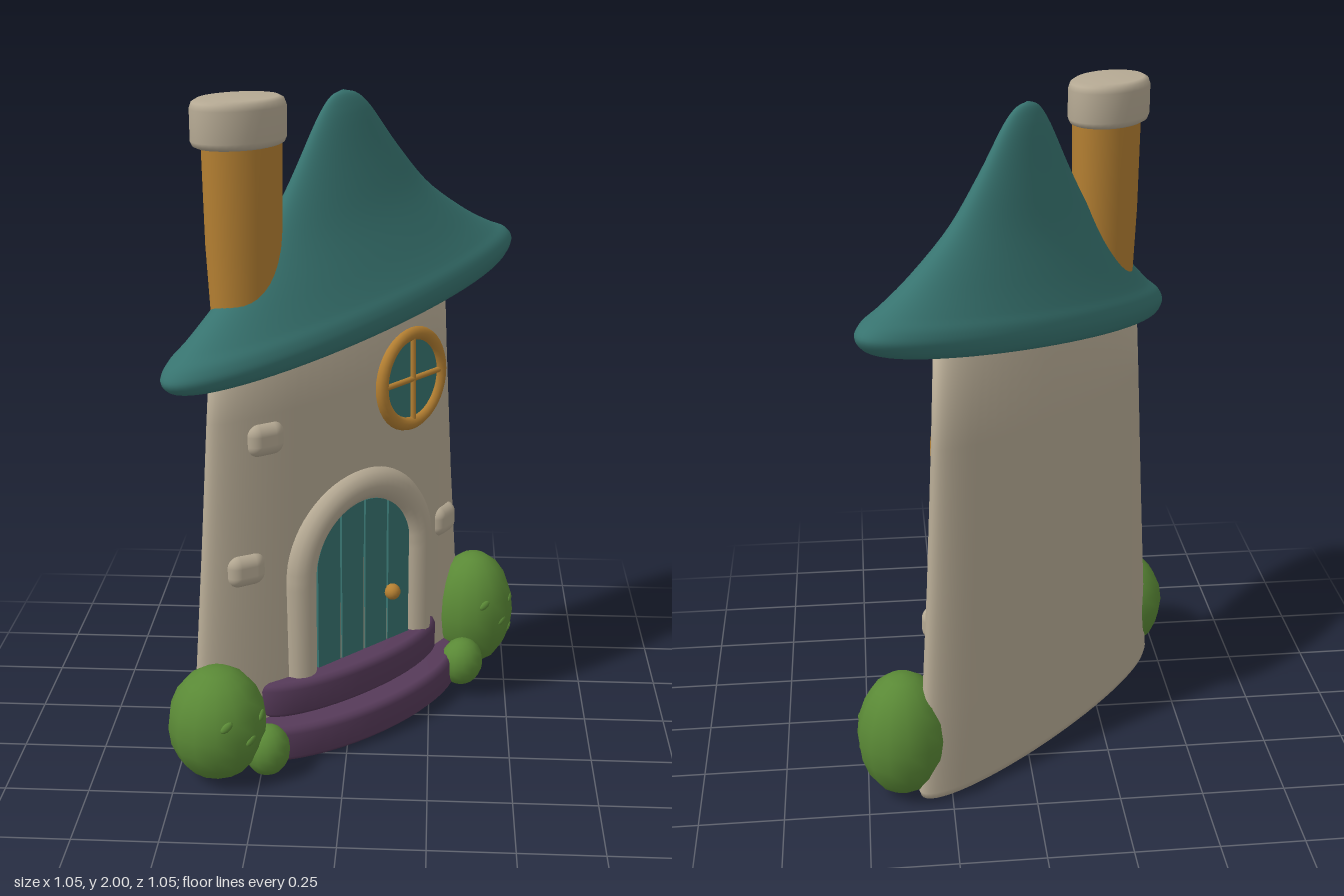
import * as THREE from 'three';
import { RoundedBoxGeometry } from 'three/addons/geometries/RoundedBoxGeometry.js';

const mat = (name, color) => {
  const m = new THREE.MeshStandardMaterial({ color });
  m.name = name;
  return m;
};

// Lofts elliptical rings, listed bottom to top: { y, a, b, x, z, tilt, back }
function loft(rings, n = 48) {
  const pos = [], idx = [];
  rings.forEach(({ y, a, b, x = 0, z = 0, tilt = 0, back = -9 }, j) => {
    for (let i = 0; i < n; i++) {
      const t = (i / n) * Math.PI * 2, u = Math.cos(t) * a;
      pos.push(x + u, y + tilt * u, Math.max(z + Math.sin(t) * b, back));
      if (j === rings.length - 1) continue;
      const p = j * n + i, q = j * n + (i + 1) % n;
      idx.push(p, p + n, q, q, p + n, q + n);
    }
  });
  const g = new THREE.BufferGeometry();
  g.setAttribute('position', new THREE.Float32BufferAttribute(pos, 3));
  g.setIndex(idx);
  g.computeVertexNormals();
  return g;
}

export function createModel() {
  const stone = mat('stone', 0xb6aa94), teal = mat('teal', 0x37736f), dark = mat('darkTeal', 0x1d4443);
  const ochre = mat('ochre', 0xb58032), plum = mat('plum', 0x563a59), green = mat('leafGreen', 0x5a8936);

  const model = new THREE.Group();
  model.name = 'towerCottage';
  const house = new THREE.Group();
  house.name = 'house';
  house.rotation.y = Math.PI / 4;
  model.add(house);

  const add = (name, geo, material, x = 0, y = 0, z = 0, parent = house) => {
    const m = new THREE.Mesh(geo, material);
    m.name = name;
    m.position.set(x, y, z);
    parent.add(m);
    return m;
  };

  // Flattened tapering tower with a rounded foot and slanted top
  const W = -0.08;
  add('tower', loft([
    { y: 0, a: 0, b: 0, z: W },
    { y: 0, a: 0.535, b: 0.095, z: W },
    { y: 0.008, a: 0.557, b: 0.11, z: W },
    { y: 0.03, a: 0.565, b: 0.117, z: W },
    { y: 0.3, a: 0.542, b: 0.111, z: W },
    { y: 0.7, a: 0.507, b: 0.104, z: W },
    { y: 1.1, a: 0.477, b: 0.097, z: W, tilt: 0.05 },
    { y: 1.36, a: 0.458, b: 0.093, z: W, tilt: 0.16 },
    { y: 1.36, a: 0, b: 0, z: W },
  ], 64), stone);

  // Roof: profile points hold radius, height and tilt
  const profile = new THREE.CatmullRomCurve3([
    [0.2, 1.345, 0.16], [0.5, 1.325, 0.16], [0.61, 1.318, 0.163], [0.652, 1.335, 0.165], [0.67, 1.365, 0.165],
    [0.65, 1.395, 0.165], [0.59, 1.43, 0.165], [0.48, 1.505, 0.16], [0.318, 1.638, 0.165], [0.2, 1.78, 0.165],
    [0.093, 1.93, 0.12], [0.048, 1.973, 0.06], [0.002, 1.988, 0],
  ].map((p) => new THREE.Vector3(...p)));
  const rings = profile.getPoints(52).map((p) => {
    const r = Math.max(p.x, 0.001);
    return { y: p.y, a: r, b: r * 0.27 + 0.006 * Math.min(1, r * 10), x: -0.026 + 0.03 * r, z: -0.004, tilt: p.z };
  });
  rings.unshift({ y: 1.35, a: 0, b: 0, x: -0.02, z: -0.004 });
  add('roof', loft(rings, 64), teal);

  // Chimney
  add('chimneyShaft', loft([
    { y: 1.33, a: 0.1, b: 0.08 }, { y: 1.6, a: 0.116, b: 0.088 }, { y: 1.9, a: 0.122, b: 0.09 },
  ], 32), ochre, -0.38, 0, -0.018);
  add('chimneyCap', loft([
    [1.87, 0], [1.87, 0.125], [1.876, 0.138], [1.89, 0.145], [1.975, 0.145], [1.992, 0.138], [2, 0.122], [2, 0],
  ].map(([y, a]) => ({ y, a, b: a * 0.73 })), 32), stone, -0.388, 0, -0.02);

  // Curved steps with softened edges
  const step = (name, y, a, b, z) => add(name, loft([
    [0, 1], [0, 0.02], [0.02, 0], [0.095, 0], [0.11, 0.007], [0.117, 0.02], [0.117, 1],
  ].map(([h, inset]) => ({
    y: y + h, a: Math.max(a - inset, 0), b: Math.max(b - inset, 0), z, back: -0.06,
  }))), plum);
  step('lowerStep', 0, 0.45, 0.2, -0.02);
  step('upperStep', 0.114, 0.37, 0.125, -0.013);

  // Arched door: dark backing and four planks trimmed to the arch
  const door = new THREE.Group();
  door.name = 'door';
  door.position.set(0.026, 0.23, -0.01);
  house.add(door);
  const R = 0.195, H = 0.315;
  const plank = (x0, x1, depth) => {
    const s = new THREE.Shape();
    s.moveTo(x0, 0);
    s.lineTo(x1, 0);
    for (let i = 0; i <= 12; i++) {
      const x = x1 + (x0 - x1) * i / 12;
      s.lineTo(x, H + Math.sqrt(Math.max(R * R - x * x, 0)));
    }
    return new THREE.ExtrudeGeometry(s, { depth, bevelEnabled: false });
  };
  add('doorBacking', plank(-R, R, 0.05), dark, 0, 0, -0.015, door);
  for (let i = 0; i < 4; i++) {
    const x = -R + i * R / 2;
    add('doorPlank', plank(x + 0.004, x + R / 2 - 0.004, 0.06), teal, 0, 0, -0.015, door);
  }
  add('doorKnob', new THREE.SphereGeometry(0.026, 16, 12), ochre, 0.11, 0.17, 0.056, door);

  // Rounded stone arch round the door
  const r = 0.245, path = new THREE.CurvePath();
  const arc = [];
  for (let i = 0; i <= 16; i++) {
    const t = Math.PI * i / 16;
    arc.push(new THREE.Vector3(r * Math.cos(t), H - 0.004 + r * Math.sin(t), 0));
  }
  path.add(new THREE.LineCurve3(new THREE.Vector3(r, -0.02, 0), arc[0]));
  path.add(new THREE.CatmullRomCurve3(arc));
  path.add(new THREE.LineCurve3(arc[16], new THREE.Vector3(-r, -0.02, 0)));
  add('doorArch', new THREE.TubeGeometry(path, 60, 0.053, 14), stone, 0, 0, 0.018, door);

  // Round window with cross bars, turned to follow the wall
  const win = new THREE.Group();
  win.name = 'window';
  win.position.set(0.251, 1.077, 0);
  win.rotation.set(-0.02, 0.13, 0);
  house.add(win);
  add('windowFrame', new THREE.TorusGeometry(0.144, 0.022, 12, 40), ochre, 0, 0, 0, win);
  add('windowGlass', new THREE.CylinderGeometry(0.144, 0.144, 0.03, 40), teal, 0, 0, -0.01, win).rotation.x = Math.PI / 2;
  for (const turn of [0, Math.PI / 2]) {
    add('windowBar', new THREE.CylinderGeometry(0.009, 0.009, 0.28, 10), ochre, 0, 0, 0.008, win).rotation.z = turn;
  }

  // Loose rounded stones in the wall
  for (const [x, y, z, w, turn] of [
    [-0.32, 1.012, -0.026, 0.125, -0.17], [-0.395, 0.617, -0.033, 0.125, -0.22], [0.425, 0.547, -0.038, 0.123, 0.26],
  ]) {
    add('wallStone', new RoundedBoxGeometry(w, 0.106, 0.08, 5, 0.038), stone, x, y, z).rotation.y = turn;
  }

  // Bushes, the big ones with small leaves lying on the front
  const bush = (name, x, y, z, rx, ry, rz) => {
    const m = add(name, new THREE.SphereGeometry(1, 14, 10), green, x, y, z);
    m.scale.set(rx, ry, rz);
  };
  bush('leftBush', -0.538, 0.173, 0.004, 0.148, 0.177, 0.148);
  bush('rightBush', 0.548, 0.2, 0.006, 0.138, 0.2, 0.134);
  bush('leftSmallBush', -0.43, 0.08, 0.105, 0.07, 0.08, 0.066);
  bush('rightSmallBush', 0.405, 0.08, 0.1, 0.073, 0.08, 0.066);
  for (const [cx, cy, rx, ry, rz] of [[-0.538, 0.173, 0.148, 0.177, 0.148], [0.548, 0.2, 0.138, 0.2, 0.134]]) {
    for (const [u, v] of [[0.1, -0.05], [0.5, 0.25], [-0.4, 0.3], [0.5, -0.3]]) {
      const d = Math.sqrt(1 - u * u - v * v);
      const leaf = add('leaf', new THREE.SphereGeometry(0.02, 10, 8), green, cx + u * rx, cy + v * ry, d * rz - 0.001);
      leaf.scale.set(1.1, 0.6, 0.4);
      leaf.rotation.set(-v, u, 0.5);
    }
  }
  return model;
}
